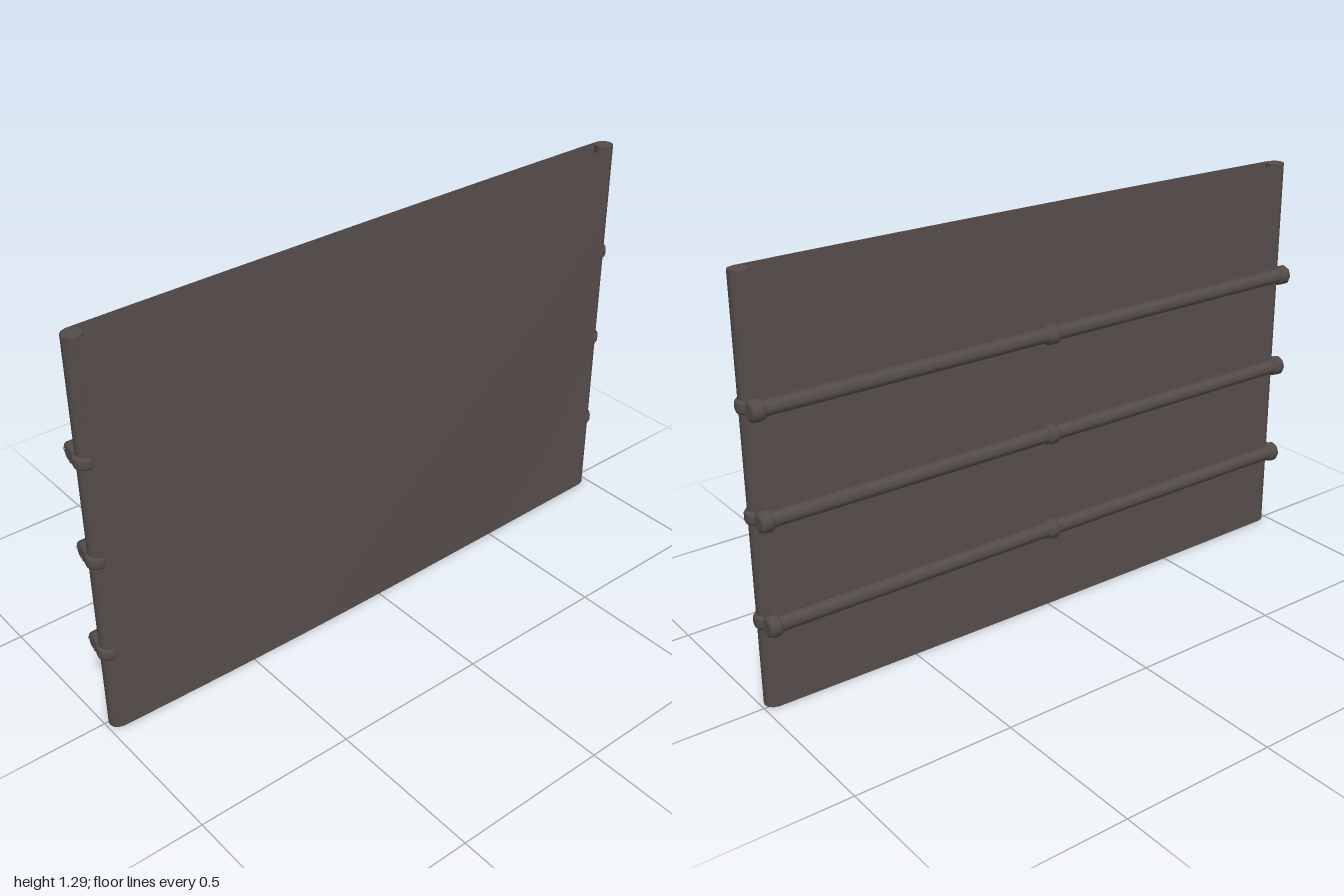
import * as THREE from 'three';

const HEIGHT = 1.29, POST_X = 0.014, POST_Z = 0.961, BAR_X = -0.034;

export function createModel() {
  const model = new THREE.Group();
  const cloth = new THREE.MeshStandardMaterial({ color: 0x584e4d, side: THREE.DoubleSide });
  cloth.name = 'brown cloth';
  const metal = new THREE.MeshStandardMaterial({ color: 0x544c4a });
  metal.name = 'dark frame';

  const add = (name, geometry, material, x, y, z) => {
    const mesh = new THREE.Mesh(geometry, material);
    mesh.name = name;
    mesh.position.set(x, y, z);
    model.add(mesh);
    return mesh;
  };

  // Upright posts at both ends
  for (const s of [1, -1]) {
    add('post', new THREE.CylinderGeometry(0.029, 0.029, HEIGHT, 12), metal, POST_X, HEIGHT / 2, s * POST_Z);
  }

  // Slack cloth sheets stretched between the posts, open at top and bottom
  const sheet = (name, side, sag, phase) => {
    const g = new THREE.PlaneGeometry(POST_Z * 2, HEIGHT, 16, 10);
    g.rotateY(side * Math.PI / 2);
    const p = g.attributes.position;
    for (let i = 0; i < p.count; i++) {
      const y = p.getY(i) / HEIGHT, z = p.getZ(i) / POST_Z;
      const bow = Math.cos(z * Math.PI / 2);
      const ripple = 0.8 + 0.2 * Math.cos(y * 5 + z * 2 + phase);
      p.setX(i, side * (0.03 + sag * bow * ripple));
    }
    g.computeVertexNormals();
    add(name, g, cloth, POST_X, HEIGHT / 2, 0);
  };
  sheet('outerSheet', 1, 0.016, 0.8);
  sheet('backSheet', -1, 0.009, 0.2);

  // Horizontal rails with a collar at each end and in the middle
  for (const y of [0.275, 0.597, 0.919]) {
    add('rail', new THREE.CylinderGeometry(0.024, 0.024, 1.97, 8), metal, BAR_X, y, 0)
      .rotation.x = Math.PI / 2;
    for (const z of [-0.967, 0, 0.967]) {
      const profile = [[0.022, -0.02], [0.03, -0.017], [0.033, -0.01],
        [0.033, 0.01], [0.03, 0.017], [0.022, 0.02]].map(([r, h]) => new THREE.Vector2(r, h));
      const collar = new THREE.LatheGeometry(profile, 8);
      add('railCollar', collar, metal, BAR_X, y, z).rotation.x = Math.PI / 2;
      // Ring that clamps the rail to its post
      if (z !== 0) add('postClamp', new THREE.LatheGeometry(profile, 12), metal, POST_X, y, z);
    }
  }
  return model;
}
